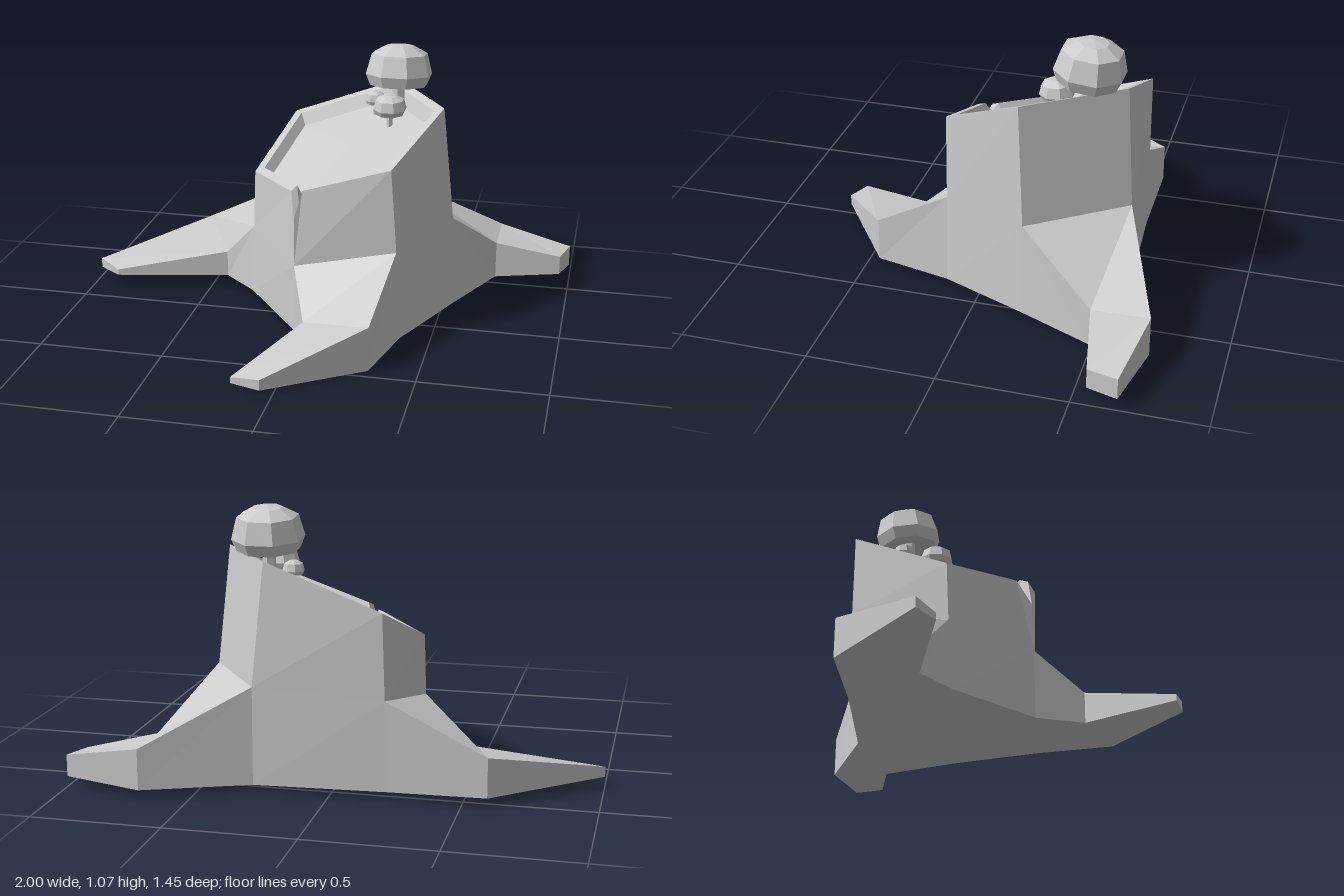
import * as THREE from 'three';

const grey = () => new THREE.MeshStandardMaterial({ color: 0xcccccc, flatShading: true });

// Collects flat polygons (corners counter-clockwise from outside) into one mesh.
function polyMesh(name, polys) {
  const pos = [];
  for (const p of polys) {
    for (let i = 1; i < p.length - 1; i++) {
      if (p[i] === p[i + 1] || p[0] === p[i] || p[0] === p[i + 1]) continue;
      pos.push(...p[0], ...p[i], ...p[i + 1]);
    }
  }
  const g = new THREE.BufferGeometry();
  g.setAttribute('position', new THREE.Float32BufferAttribute(pos, 3));
  g.computeVertexNormals();
  const m = new THREE.Mesh(g, grey());
  m.name = name;
  return m;
}

// Rings run clockwise seen from above, starting at the back right corner (-x, -z).
const mid = [
  [-0.21, 0.38, -0.54], [0.29, 0.41, -0.565], [0.535, 0.4, -0.2],
  [0.36, 0.37, 0.15], [-0.05, 0.28, 0.155], [-0.295, 0.31, -0.16],
];
const base = [
  [-0.21, 0.03, -0.54], [0.29, 0.03, -0.57], [0.55, 0.025, -0.2],
  [0.38, 0.005, 0.15], [-0.05, 0, 0.16], [-0.3, 0.025, -0.14],
];
// Top edge, with a small crack at the front corner; midOf links it to the mid ring.
const top = [
  [-0.2, 0.71, -0.54], [0.25, 0.88, -0.53], [0.49, 0.873, -0.17], [0.335, 0.71, 0.155],
  [-0.02, 0.592, 0.135], [-0.05, 0.48, 0.15], [-0.075, 0.572, 0.09], [-0.29, 0.55, -0.17],
];
const midOf = [0, 1, 2, 3, 4, 4, 4, 5];

// Root between ring corners i and i + 1: [x, y, z, bottom y] at knee and tip.
const roots = [
  { i: 1, knee: [[0.69, 0.19, -0.725, 0.03], [0.69, 0.185, -0.5, 0.03]],
    tip: [[0.995, 0.13, -0.67, 0.045], [0.96, 0.125, -0.55, 0.045]] },
  { i: 3, knee: [[0.31, 0.185, 0.46, 0.005], [0.03, 0.13, 0.35, 0.005]],
    tip: [[-0.05, 0.055, 0.72, 0.012], [-0.17, 0.04, 0.69, 0.015]] },
  { i: 5, knee: [[-0.44, 0.145, -0.25, 0.035], [-0.595, 0.19, -0.54, 0.035]],
    tip: [[-0.905, 0.06, -0.15, 0.035], [-1, 0.08, -0.21, 0.04]] },
];

function makeTrunk() {
  const polys = [];
  // upper bark
  top.forEach((p, k) => {
    const n = (k + 1) % top.length;
    polys.push([p, top[n], mid[midOf[n]], mid[midOf[k]]]);
  });
  // lower bark between the roots
  for (const i of [0, 2, 4]) polys.push([mid[i], mid[i + 1], base[i + 1], base[i]]);
  // underside
  polys.push(base);
  return polyMesh('trunk', polys);
}

function makeCutTop() {
  const inset = (p, t, drop) => [
    p[0] + (0.1 - p[0]) * t, p[1] + (0.73 - p[1]) * t - drop, p[2] + (-0.2 - p[2]) * t,
  ];
  const rim = top.map((p) => inset(p, 0.1, 0));
  const floor = top.map((p, k) => inset(k === 5 ? [-0.05, 0.58, 0.12] : p, 0.17, 0.05));
  const centre = [0.1, 0.685, -0.2];
  const polys = [];
  top.forEach((p, k) => {
    const n = (k + 1) % top.length;
    polys.push([p, rim[k], rim[n], top[n]]);
    polys.push([rim[k], floor[k], floor[n], rim[n]]);
    polys.push([floor[k], centre, floor[n]]);
  });
  return polyMesh('cutTop', polys);
}

function makeRoot({ i, knee, tip }) {
  const j = (i + 1) % 6;
  const up = ([x, y, z]) => [x, y, z];
  const down = ([x, , z, b]) => [x, b, z];
  const [ki, kj] = knee.map(up), [kbi, kbj] = knee.map(down);
  const [ti, tj] = tip.map(up), [tbi, tbj] = tip.map(down);
  return polyMesh('root', [
    [mid[i], mid[j], kj, ki], [ki, kj, tj, ti],         // top
    [mid[i], ki, kbi, base[i]], [ki, ti, tbi, kbi],     // one flank
    [mid[j], base[j], kbj, kj], [kj, kbj, tbj, tj],     // other flank
    [base[i], kbi, kbj, base[j]], [kbi, tbi, tbj, kbj], // underside
    [ti, tj, tbj, tbi],                                 // end
  ]);
}

// Eight-sided cap on a thin stem; origin at the cap's underside.
function makeMushroom(name, r, h, stemLength, position, tilt) {
  const g = new THREE.Group();
  g.name = name;
  const profile = [[0, 0.12], [0.86, 0], [1, 0.27], [0.84, 0.76], [0.42, 0.95], [0, 1]]
    .map(([x, y]) => new THREE.Vector2(x * r, y * h));
  const cap = new THREE.Mesh(new THREE.LatheGeometry(profile, 8, Math.PI / 8), grey());
  cap.name = 'cap';
  cap.rotation.x = tilt;
  const stem = new THREE.Mesh(new THREE.CylinderGeometry(r * 0.18, r * 0.2, stemLength, 6), grey());
  stem.name = 'stem';
  stem.position.y = h * 0.15 - stemLength / 2;
  g.add(cap, stem);
  g.position.set(...position);
  return g;
}

export function createModel() {
  const model = new THREE.Group();
  model.name = 'stump';
  model.add(makeTrunk(), makeCutTop(), ...roots.map(makeRoot));
  model.add(
    makeMushroom('largeMushroom', 0.14, 0.17, 0.18, [0.27, 0.9, -0.38], -0.1),
    makeMushroom('mediumMushroom', 0.07, 0.08, 0.08, [0.255, 0.81, -0.26], 0.05),
    makeMushroom('smallMushroom', 0.042, 0.055, 0.08, [0.172, 0.81, -0.39], 0),
  );
  return model;
}
